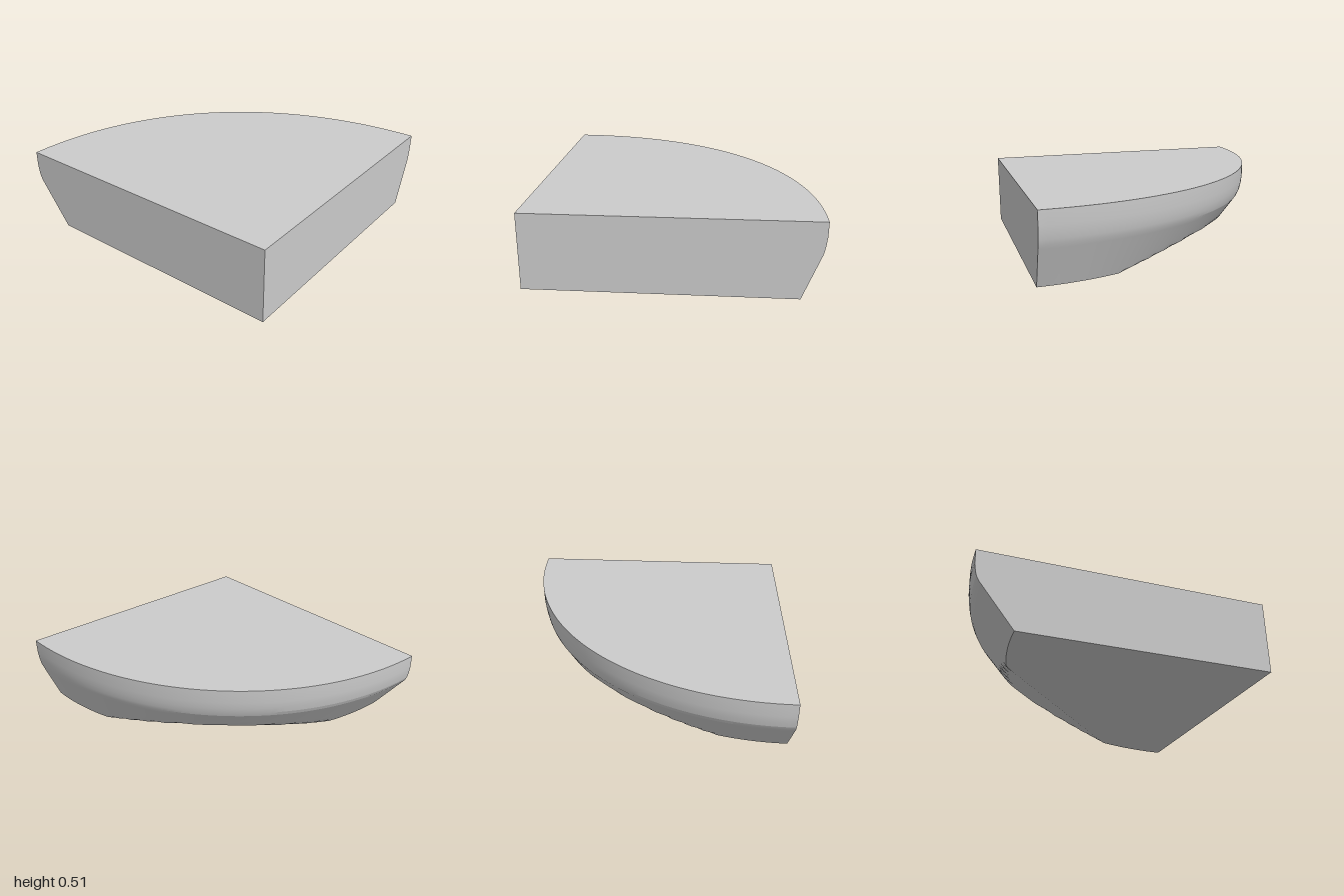
import * as THREE from 'three';
import { toCreasedNormals } from 'three/addons/utils/BufferGeometryUtils.js';

const CORNER = [-0.955, 1]; // square corner of the quarter wedge
const ARC = 64;

// Profile levels: height, reach along +x, reach along -z
const PROFILE = [
  [0.30, 1.885, 1.97], [0.33, 1.893, 1.985], [0.37, 1.90, 1.994],
  [0.42, 1.906, 2], [0.515, 1.908, 2],
];
for (let i = 9; i >= 0; i--) { // straight lower bevel
  const t = i / 10;
  PROFILE.unshift([0.3 * t, 1.765 + 0.12 * t, 1.74 + 0.23 * t]);
}

// One horizontal cross-section: bulged quarter arc, trimmed by the sloping flat, then the corner
function section([y, rx, rz]) {
  const power = 2 / (2 + 0.07 * Math.min(1, y / 0.3));
  const flat = 1.551 + 1.95 * y;
  const ring = [];
  for (let i = 0; i <= ARC; i++) {
    const a = (i / ARC) * Math.PI / 2;
    const u = rx * Math.max(0, Math.cos(a)) ** power;
    const v = rz * Math.max(0, Math.sin(a)) ** power;
    const k = Math.min(1, flat / (0.687 * u + 0.727 * v));
    ring.push([CORNER[0] + u * k, y, CORNER[1] - v * k]);
  }
  ring.push([CORNER[0], y, CORNER[1]]);
  return ring;
}

function wedgeGeometry() {
  const rings = PROFILE.map(section);
  const n = ARC + 2;
  const index = [];
  // Curved wall and the two flat sides
  for (let j = 0; j < rings.length - 1; j++) {
    for (let i = 0; i < n; i++) {
      const a = j * n + i, b = j * n + (i + 1) % n;
      index.push(a, b, b + n, a, b + n, a + n);
    }
  }
  // Bottom and top caps, fanned from the corner
  const top = (rings.length - 1) * n;
  for (let i = 0; i < ARC; i++) {
    index.push(n - 1, i + 1, i);
    index.push(top + n - 1, top + i, top + i + 1);
  }
  const geometry = new THREE.BufferGeometry();
  geometry.setAttribute('position', new THREE.Float32BufferAttribute(rings.flat(2), 3));
  geometry.setIndex(index);
  return toCreasedNormals(geometry, 0.2);
}

export function createModel() {
  const group = new THREE.Group();
  group.name = 'quarterWedge';
  const wedge = new THREE.Mesh(wedgeGeometry(), new THREE.MeshStandardMaterial({ color: 0xcccccc }));
  wedge.name = 'wedgeBody';
  group.add(wedge);
  return group;
}
